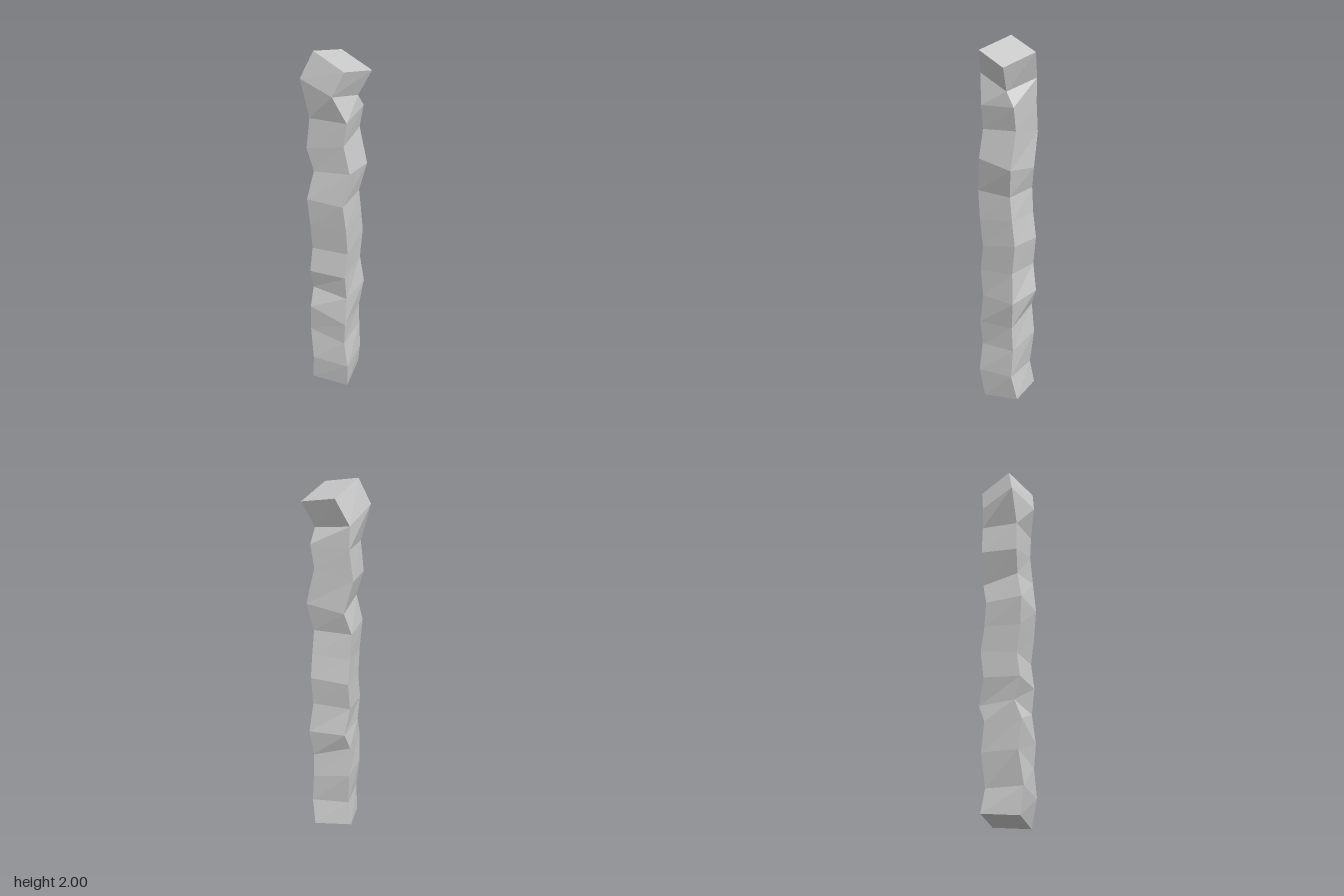
import * as THREE from 'three';

// Square cross-sections from foot to tip:
// [height, centre x, centre z, yaw, rise toward +x, rise toward +z]
const RINGS = [
  [0.025, -0.005, -0.005, 0.15, -0.008, -0.012],
  [0.17, 0.012, 0.015, 0.10, -0.005, -0.003],
  [0.34, -0.005, 0.003, 0.03, -0.02, -0.005],
  [0.49, 0.0, 0.015, 0.07, -0.035, -0.005],
  [0.62, 0.008, -0.015, -0.03, -0.007, 0.0],
  [0.765, -0.002, 0.01, 0.05, 0.003, -0.012],
  [0.915, 0.003, -0.01, 0.05, 0.006, -0.02],
  [1.06, 0.002, 0.01, 0.06, 0.003, -0.01],
  [1.205, -0.006, 0.025, 0.03, 0.0, 0.0],
  [1.36, 0.022, -0.005, 0.0, 0.015, 0.015],
  [1.525, -0.018, 0.0, 0.05, 0.025, -0.01],
  [1.673, 0.0, -0.003, 0.03, 0.005, -0.008],
  [1.81, -0.03, 0.02, -0.22, -0.02, 0.03],
  [1.948, 0.028, -0.014, -0.28, -0.026, 0.027],
];
const HALF = 0.102; // half the width of the square section

export function createModel() {
  const model = new THREE.Group();
  model.name = 'crookedPost';

  // Segmented box whose rings are shifted, turned and tilted
  const n = RINGS.length - 1;
  const geometry = new THREE.BoxGeometry(2, n, 2, 1, n, 1);
  const pos = geometry.attributes.position;
  for (let i = 0; i < pos.count; i++) {
    const sx = Math.sign(pos.getX(i));
    const sz = Math.sign(pos.getZ(i));
    const [y, cx, cz, yaw, riseX, riseZ] = RINGS[Math.round(pos.getY(i) + n / 2)];
    const c = Math.cos(yaw) * HALF;
    const s = Math.sin(yaw) * HALF;
    pos.setXYZ(i, cx + sx * c + sz * s, y + sx * riseX + sz * riseZ, cz - sx * s + sz * c);
  }
  geometry.computeVertexNormals();

  const post = new THREE.Mesh(
    geometry,
    new THREE.MeshStandardMaterial({ color: 0xcccccc, flatShading: true })
  );
  post.name = 'post';
  model.add(post);
  return model;
}
